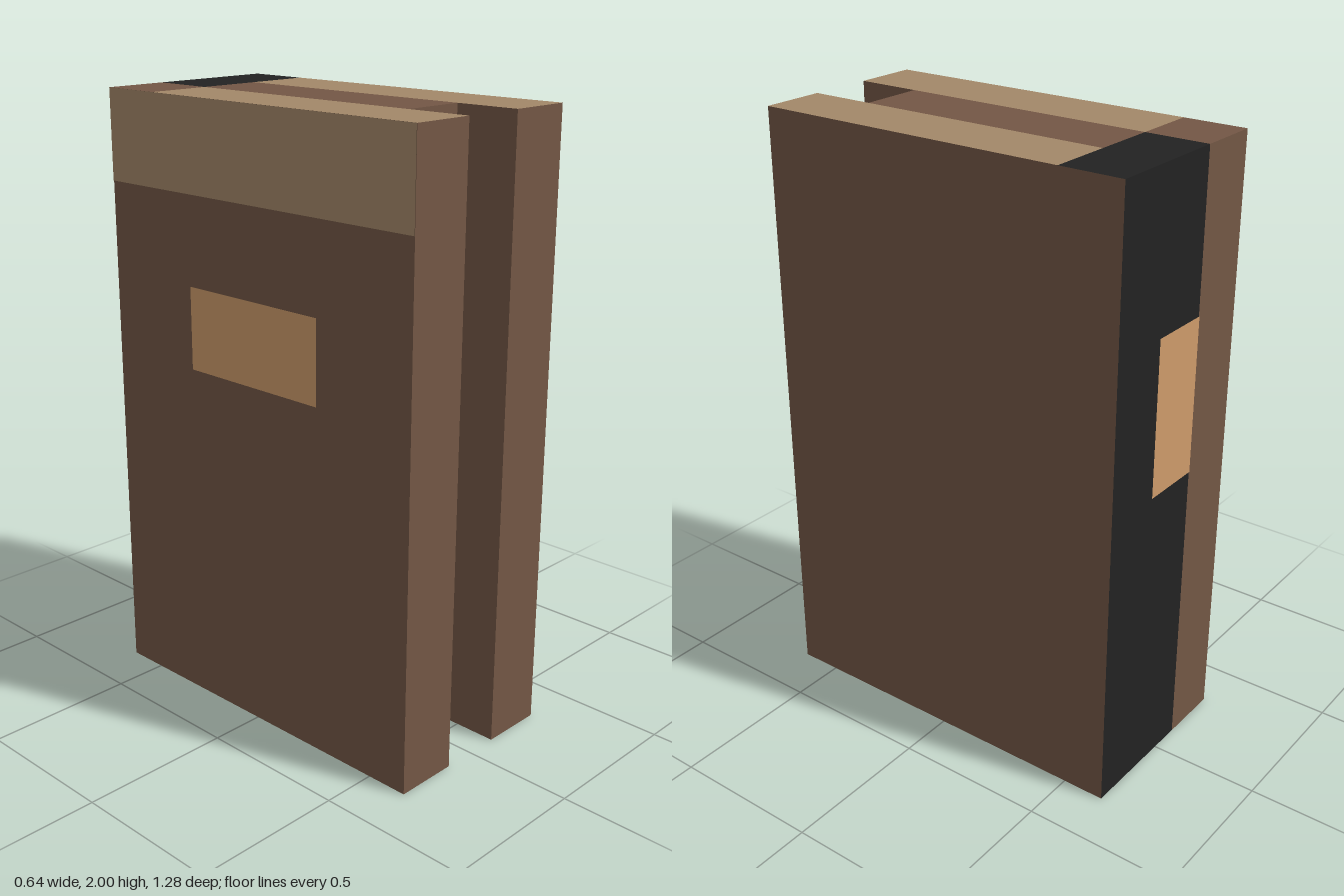
import * as THREE from 'three';

const flat = (name, color) => {
  const m = new THREE.MeshStandardMaterial({ color });
  m.name = name;
  return m;
};

export function createModel() {
  const group = new THREE.Group();
  const leather = flat('brown leather', 0x735745);
  const page = flat('tan page edge', 0xa38869);
  const black = flat('black spine', 0x222222);
  const label = flat('light label', 0xcd9b6a);

  const W = 0.32, IN = 0.107, D = 0.64, SPINE = -0.43, H = 2;

  // full-height block with its own top, bottom and back colours
  const block = (name, x0, x1, z0, z1, top, bottom, back) => {
    const mesh = new THREE.Mesh(
      new THREE.BoxGeometry(x1 - x0, H, z1 - z0),
      [leather, leather, top, bottom, leather, back]
    );
    mesh.position.set((x0 + x1) / 2, H / 2, (z0 + z1) / 2);
    mesh.name = name;
    group.add(mesh);
  };

  // two thick halves and the recessed core between them
  block('leftHalf', IN, W, SPINE, D, page, page, leather);
  block('rightHalf', -W, -IN, SPINE, D, page, page, leather);
  block('core', -IN, IN, SPINE, 0.425, leather, leather, leather);

  // spine in three strips; the black wraps over opposite corners
  block('spineLeft', IN, W, -D, SPINE, black, leather, black);
  block('spineMiddle', -IN, IN, -D, SPINE, black, black, black);
  block('spineRight', -W, -IN, -D, SPINE, leather, black, leather);

  // painted plates
  const plate = (name, material, w, h, x, y, z, turn) => {
    const mesh = new THREE.Mesh(new THREE.PlaneGeometry(w, h), material);
    mesh.position.set(x, y, z);
    mesh.rotation.y = turn;
    mesh.name = name;
    group.add(mesh);
  };
  const GAP = 0.002;
  plate('coverBand', page, 2 * D, 0.295, -W - GAP, H - 0.1475, 0, -Math.PI / 2);
  plate('coverLabel', label, 0.55, 0.27, -W - GAP, 1.28, 0, -Math.PI / 2);
  plate('spineLabel', label, 2 * IN, 0.51, 0, 1.238, -D - GAP, Math.PI);

  return group;
}
